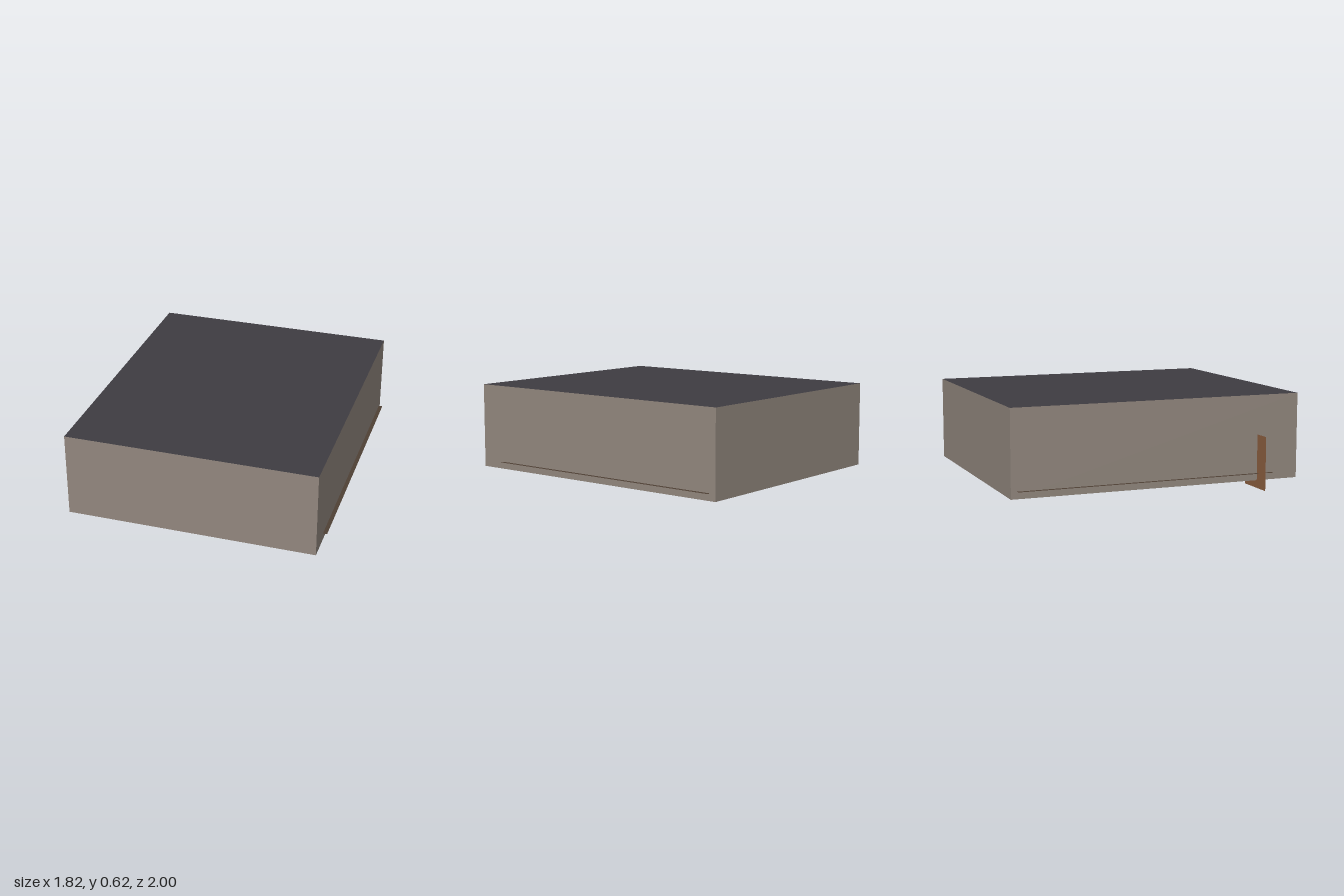
import * as THREE from 'three';

function material(name, color, side = THREE.FrontSide) {
  const m = new THREE.MeshStandardMaterial({ color, side });
  m.name = name;
  return m;
}

export function createModel() {
  const wall = material('taupe wall', 0x92877e);
  const slab = material('charcoal slab', 0x3e3c42);
  const trim = material('dark brown trim', 0x4f4035, THREE.DoubleSide);
  const wood = material('brown wood', 0x8e6041, THREE.DoubleSide);

  const model = new THREE.Group();
  model.name = 'building';
  const add = (name, geometry, mat, x, y, z) => {
    const mesh = new THREE.Mesh(geometry, mat);
    mesh.name = name;
    mesh.position.set(x, y, z);
    model.add(mesh);
    return mesh;
  };

  // Main block: walls around, charcoal roof and underside
  const left = -0.79, right = 0.88, bottom = 0.052, top = 0.624;
  add('mainBlock', new THREE.BoxGeometry(right - left, top - bottom, 2),
    [wall, wall, slab, slab, wall, wall],
    (left + right) / 2, (bottom + top) / 2, 0);

  // Flat ledges running along both long walls
  const ledgeWidth = 0.027;
  for (const [name, edge, s] of [['leftLedge', right, 1], ['rightLedge', left, -1]]) {
    const ledge = new THREE.PlaneGeometry(ledgeWidth, 1.78).rotateX(-Math.PI / 2);
    add(name, ledge, trim, edge + s * ledgeWidth / 2, 0.1, -0.07);
  }

  // Upright sheet crossing the front corner of the block
  add('cornerPanel', new THREE.PlaneGeometry(0.29, 0.36), wood, -0.765, 0.18, 0.705);

  return model;
}
